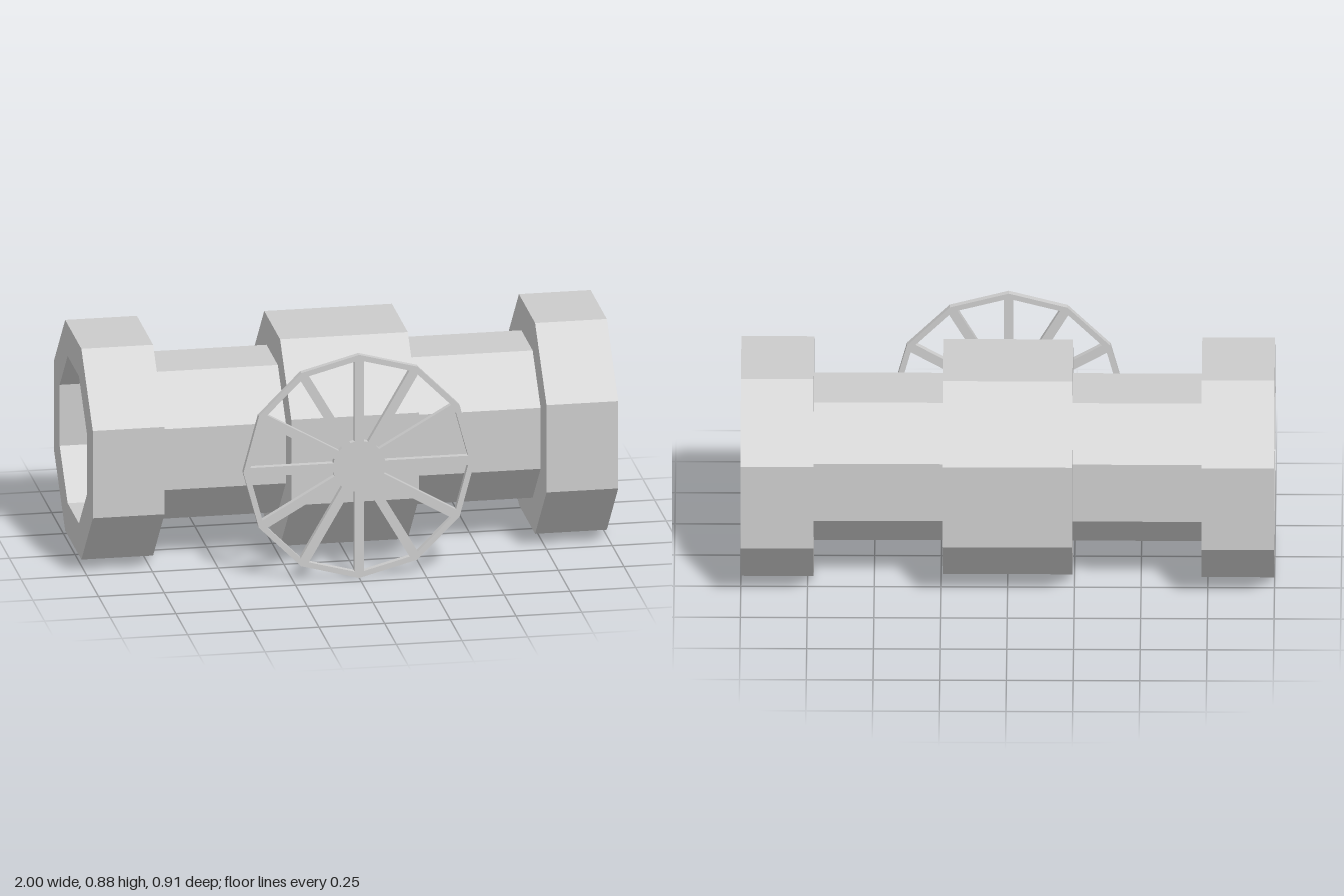
import * as THREE from 'three';

const CY = 0.443, CZ = -0.039; // pipe axis
const PIPE_R = 0.315;

// Points of a regular polygon
function ngon(radius, sides, offset = 0) {
  return Array.from({ length: sides }, (_, i) => {
    const a = offset + (i / sides) * Math.PI * 2;
    return new THREE.Vector2(radius * Math.cos(a), radius * Math.sin(a));
  });
}

export function createModel() {
  const model = new THREE.Group();
  const solid = new THREE.MeshStandardMaterial({ color: 0xcccccc, flatShading: true });
  const open = solid.clone();
  open.side = THREE.DoubleSide;

  function add(name, geometry, material, x, y, z) {
    const mesh = new THREE.Mesh(geometry, material);
    mesh.name = name;
    mesh.position.set(x, y, z);
    model.add(mesh);
  }

  // Octagonal ring along x, bored to the pipe's size
  function collar(name, radius, x0, x1) {
    const shape = new THREE.Shape(ngon(radius, 8, Math.PI / 8));
    shape.holes.push(new THREE.Path(ngon(PIPE_R, 8, Math.PI / 8)));
    const geo = new THREE.ExtrudeGeometry(shape, { depth: x1 - x0, bevelEnabled: false });
    geo.rotateY(Math.PI / 2);
    add(name, geo, solid, x0, CY, CZ);
  }
  collar('rightFlange', 0.451, -1, -0.727);
  collar('valveBody', 0.442, -0.243, 0.243);
  collar('leftFlange', 0.451, 0.727, 1);

  // Thin-walled pipes between the collars
  for (const side of [-1, 1]) {
    const geo = new THREE.CylinderGeometry(PIPE_R, PIPE_R, 0.484, 8, 1, true, Math.PI / 8);
    geo.rotateZ(Math.PI / 2);
    add(side > 0 ? 'leftPipe' : 'rightPipe', geo, open, side * 0.485, CY, CZ);
  }

  // Stem carrying the handwheel
  const stem = new THREE.CylinderGeometry(0.075, 0.075, 0.08, 12);
  stem.rotateX(Math.PI / 2);
  add('wheelStem', stem, solid, 0, CY, 0.396);

  // Twelve-sided handwheel: gaps cut between parallel-sided spokes
  const SPOKES = 12, half = Math.PI / SPOKES;
  const wheel = new THREE.Shape(ngon(0.441, SPOKES));
  const rimInner = 0.405, hub = 0.1, spokeHalf = 0.018;
  const gapHalf = (r) => r * Math.tan(half) - spokeHalf / Math.cos(half);
  const gap = [
    [hub, -gapHalf(hub)], [rimInner, -gapHalf(rimInner)],
    [rimInner, gapHalf(rimInner)], [hub, gapHalf(hub)],
  ].map(([x, y]) => new THREE.Vector2(x, y));
  const origin = new THREE.Vector2();
  for (let i = 0; i < SPOKES; i++) {
    const angle = (2 * i + 1) * half;
    wheel.holes.push(new THREE.Path(gap.map((p) => p.clone().rotateAround(origin, angle))));
  }
  const wheelGeo = new THREE.ExtrudeGeometry(wheel, { depth: 0.024, bevelEnabled: false });
  add('handwheel', wheelGeo, solid, 0, CY, 0.434);

  return model;
}
